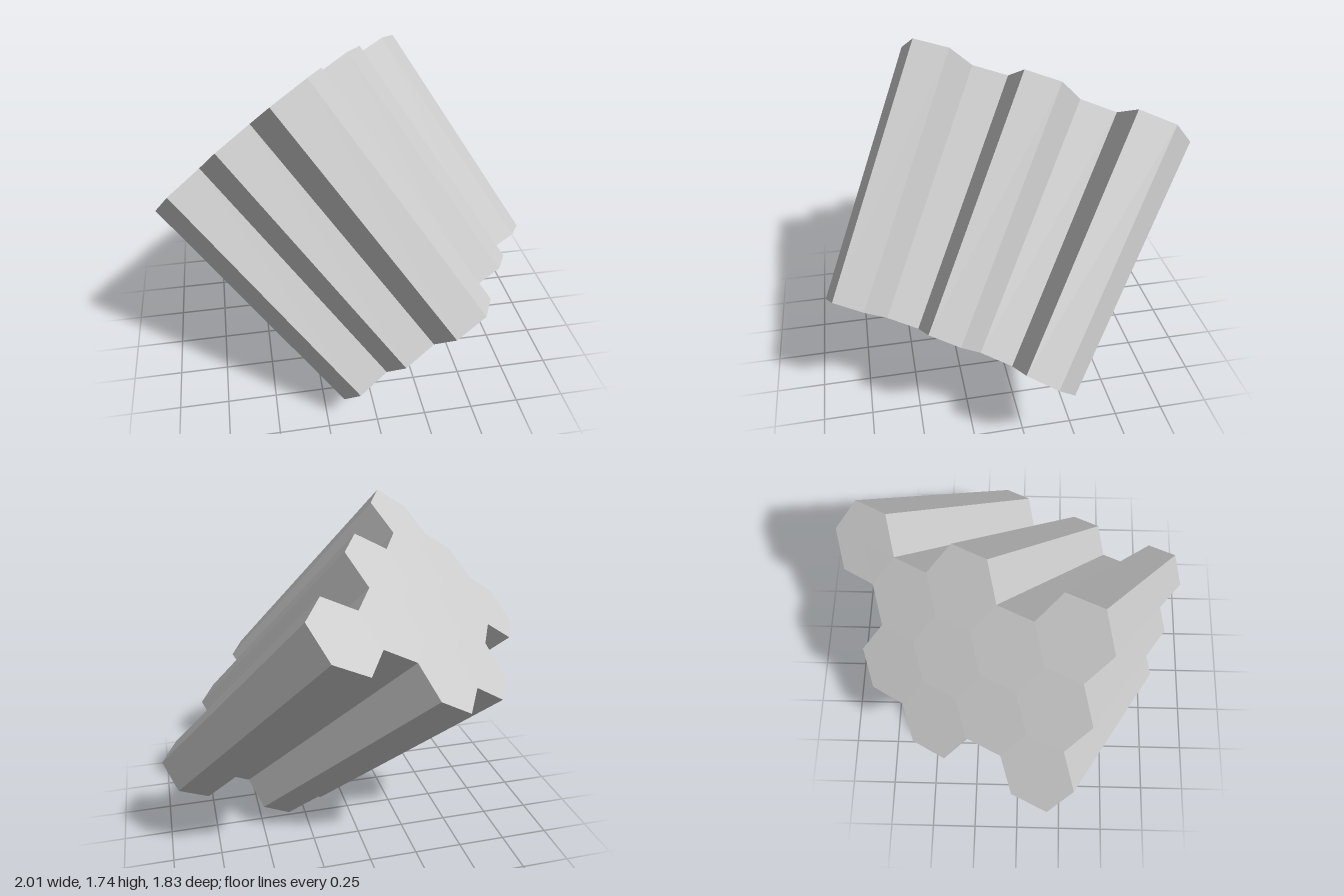
import * as THREE from 'three';

// Columns radiate from a far centre; ends lie on two concentric spheres.
const CENTRE = new THREE.Vector3(4.433, -4.743, 3.674);
const OUTER = 8.663;
const INNER = OUTER * 0.845;

// Hexagonal lattice: origin cell and two neighbour steps.
const ORIGIN = new THREE.Vector3(-0.342, 1.607, 0.238);
const A = new THREE.Vector3(-0.259, -0.067, 0.214);
const B = new THREE.Vector3(-0.249, -0.246, -0.072);

// Occupied cells as [row, first column, last column]
const ROWS = [[0, 0, 0], [1, -2, 0], [2, -4, 0], [3, -3, -2]];

// The six neighbours, counter-clockwise seen from outside
const NEIGHBOURS = [[1, 0], [1, -1], [0, -1], [-1, 0], [-1, 1], [0, 1]];

function onSphere(m, n, radius) {
  return ORIGIN.clone().addScaledVector(A, m).addScaledVector(B, n)
    .sub(CENTRE).setLength(radius).add(CENTRE);
}

// Corners sit where a cell meets two consecutive neighbours
function ring(m, n, radius) {
  return NEIGHBOURS.map(([p, q], i) => {
    const [r, s] = NEIGHBOURS[(i + 1) % 6];
    return onSphere(m + (p + r) / 3, n + (q + s) / 3, radius);
  });
}

function columnGeometry(m, n) {
  const top = ring(m, n, OUTER);
  const bottom = ring(m, n, INNER);
  const average = (pts) => pts.reduce((sum, p) => sum.add(p), new THREE.Vector3()).divideScalar(6);
  const topMid = average(top), bottomMid = average(bottom);
  const points = [];
  for (let i = 0; i < 6; i++) {
    const j = (i + 1) % 6;
    points.push(topMid, top[i], top[j]); // outer cap
    points.push(bottomMid, bottom[j], bottom[i]); // inner cap
    points.push(bottom[i], bottom[j], top[j], bottom[i], top[j], top[i]); // side
  }
  const geometry = new THREE.BufferGeometry().setFromPoints(points);
  geometry.computeVertexNormals();
  return geometry;
}

export function createModel() {
  const model = new THREE.Group();
  model.name = 'hexagonalColumnCluster';
  const columns = new THREE.Group();
  columns.name = 'columns';
  model.add(columns);
  const material = new THREE.MeshStandardMaterial({ color: 0xcccccc, flatShading: true });

  for (const [n, first, last] of ROWS) {
    for (let m = first; m <= last; m++) {
      const column = new THREE.Mesh(columnGeometry(m, n), material);
      column.name = `hexColumn${columns.children.length + 1}`;
      columns.add(column);
    }
  }

  // Centre the cluster and rest it on the ground
  const box = new THREE.Box3().setFromObject(columns, true);
  const mid = box.getCenter(new THREE.Vector3());
  columns.position.set(-mid.x, -box.min.y, -mid.z);
  return model;
}
